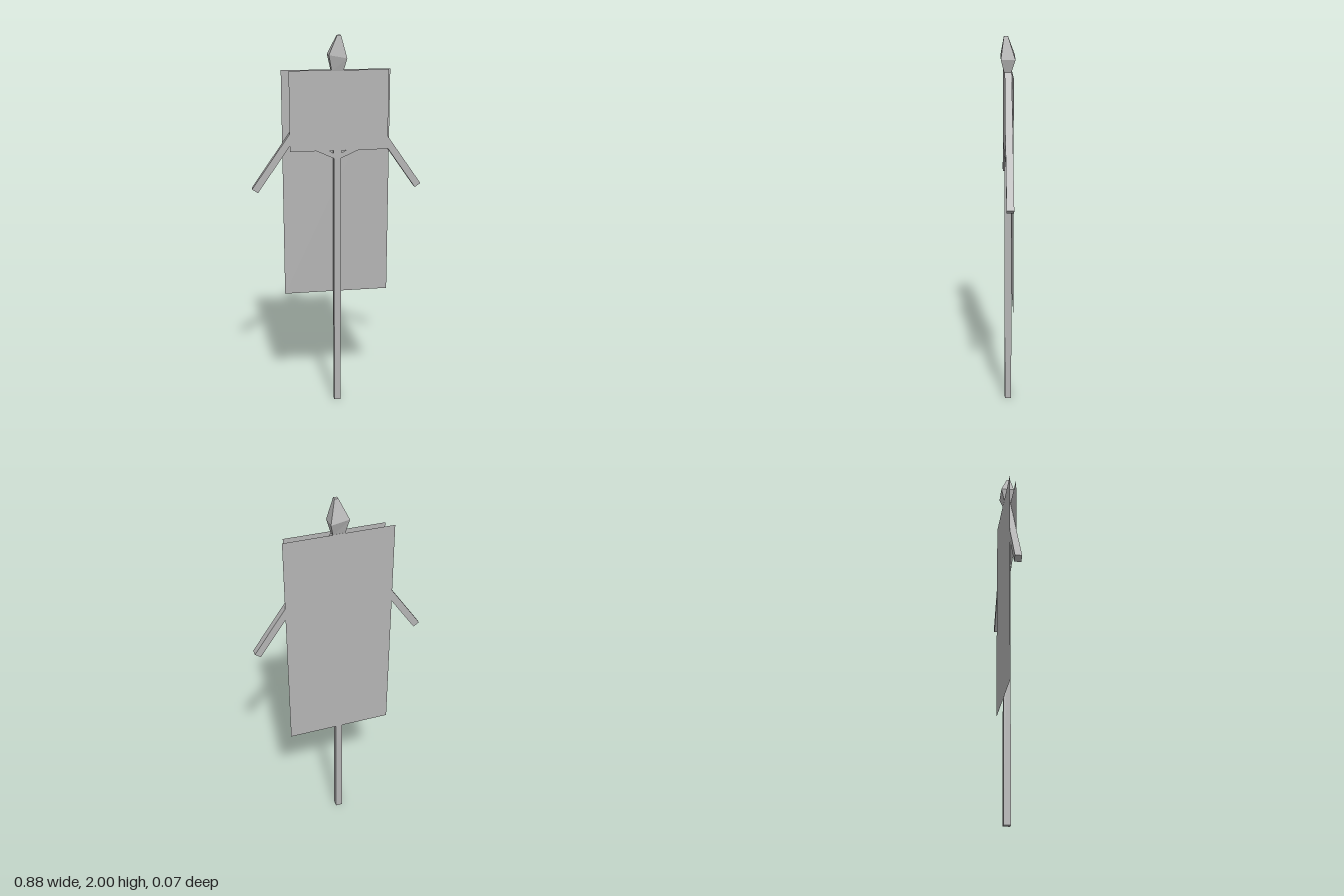
import * as THREE from 'three';

const grey = new THREE.MeshStandardMaterial({ color: 0xb4b4b4, flatShading: true });
grey.name = 'plain grey';
const greyCloth = grey;
greyCloth.side = THREE.DoubleSide;

const THICK = 0.036;
const MID_Z = -0.002;

// Square bar running between two points in the x-y plane
function bar(name, x0, y0, x1, y1) {
  const dx = x1 - x0, dy = y1 - y0;
  const mesh = new THREE.Mesh(new THREE.BoxGeometry(THICK, Math.hypot(dx, dy), THICK), grey);
  mesh.position.set((x0 + x1) / 2, (y0 + y1) / 2, MID_Z);
  mesh.rotation.z = Math.atan2(-dx, dy);
  mesh.name = name;
  return mesh;
}

// Flat sheet cut from an outline
function sheet(name, points, z, holes = []) {
  const shape = new THREE.Shape(points.map(p => new THREE.Vector2(...p)));
  for (const h of holes) shape.holes.push(new THREE.Path(h.map(p => new THREE.Vector2(...p))));
  const mesh = new THREE.Mesh(new THREE.ShapeGeometry(shape), greyCloth);
  mesh.position.z = z;
  mesh.name = name;
  return mesh;
}

// Faceted finial from four-cornered rings, each corner given as x, y, z
function finial() {
  const rings = [
    [[-0.03, 1.825, 0.018], [0.03, 1.825, 0.018], [0.03, 1.825, -0.018], [-0.03, 1.825, -0.018]],
    [[-0.046, 1.905, 0.034], [0.046, 1.888, 0.034], [0.046, 1.888, -0.038], [-0.046, 1.905, -0.038]],
    [[-0.002, 2, 0.018], [0.017, 2, 0.018], [0.017, 2, -0.002], [-0.002, 2, -0.002]],
  ];
  const index = [2, 1, 0, 3, 2, 0, 8, 9, 10, 8, 10, 11];
  for (let r = 0; r < 2; r++) {
    for (let i = 0; i < 4; i++) {
      const a = r * 4 + i, b = r * 4 + (i + 1) % 4;
      index.push(a, b, b + 4, a, b + 4, a + 4);
    }
  }
  const geo = new THREE.BufferGeometry();
  geo.setAttribute('position', new THREE.Float32BufferAttribute(rings.flat(2), 3));
  geo.setIndex(index);
  const flat = geo.toNonIndexed();
  flat.computeVertexNormals();
  const mesh = new THREE.Mesh(flat, grey);
  mesh.name = 'head';
  return mesh;
}

export function createModel() {
  const model = new THREE.Group();
  model.name = 'bannerPole';

  // Upright pole and pointed head
  model.add(bar('pole', 0, 0, 0, 1.83));
  model.add(finial());

  // Sloping arms meeting behind the cloth at the top of the pole
  for (const [s, name] of [[-1, 'rightArm'], [1, 'leftArm']]) {
    model.add(bar(name, s * 0.008, 1.82, s * 0.427, 1.225));
  }

  // Long cloth hanging behind
  model.add(sheet('backCloth', [[-0.28, 0.64], [0.277, 0.64], [0.277, 1.83], [-0.28, 1.83]], -0.022));

  // Short cloth in front, sagging at the pole, with two little gaps
  const gap = s => [[s * 0.02, 1.424], [s * 0.044, 1.424], [s * 0.022, 1.411]];
  model.add(sheet('frontCloth', [
    [-0.245, 1.83], [-0.245, 1.424], [-0.11, 1.424], [-0.018, 1.383],
    [0.018, 1.383], [0.11, 1.424], [0.262, 1.424], [0.262, 1.83],
  ], 0.0175, [gap(-1), gap(1)]));

  return model;
}
